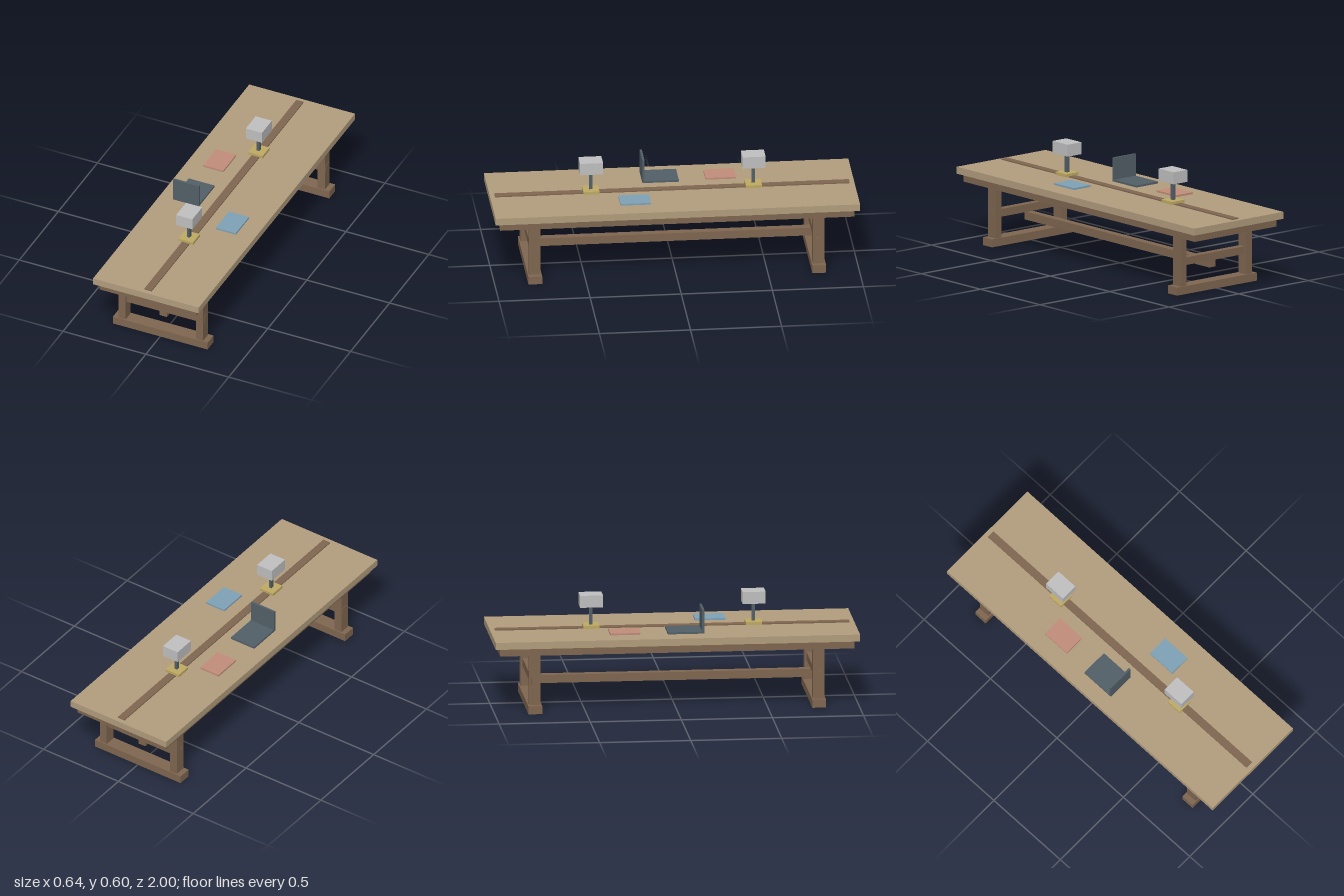
import * as THREE from 'three';

const mat = (name, color) => {
  const m = new THREE.MeshStandardMaterial({ color });
  m.name = name;
  return m;
};

export function createModel() {
  const lightWood = mat('lightWood', 0xb29d7d);
  const darkWood = mat('darkWood', 0x7f6650);
  const slate = mat('slate', 0x536068);
  const shadeGrey = mat('shadeGrey', 0xc0c0c0);
  const brass = mat('brass', 0xc0ab64);
  const blue = mat('blueCover', 0x7fa2b7);
  const red = mat('redCover', 0xc18d79);

  const table = new THREE.Group();
  table.name = 'readingTable';

  // Box given by its [min, max] range on each axis
  const box = (parent, name, material, [x0, x1], [y0, y1], [z0, z1]) => {
    const mesh = new THREE.Mesh(new THREE.BoxGeometry(x1 - x0, y1 - y0, z1 - z0), material);
    mesh.position.set((x0 + x1) / 2, (y0 + y1) / 2, (z0 + z1) / 2);
    mesh.name = name;
    parent.add(mesh);
  };
  const sym = (h) => [-h, h];
  const group = (name, z = 0) => {
    const g = new THREE.Group();
    g.name = name;
    g.position.z = z;
    table.add(g);
    return g;
  };

  // Top, apron, centre runner and long stretcher
  box(table, 'tabletop', lightWood, sym(0.319), [0.373, 0.412], sym(1));
  box(table, 'apron', darkWood, sym(0.292), [0.329, 0.373], sym(0.973));
  box(table, 'centreRunner', darkWood, sym(0.022), [0.41, 0.418], sym(0.973));
  box(table, 'stretcher', darkWood, sym(0.022), [0.112, 0.157], sym(0.778));

  for (const side of [1, -1]) {
    const end = side > 0 ? 'front' : 'back';

    // Trestle: foot, two legs, crossbar tenoned through the legs
    const trestle = group(end + 'Trestle', side * 0.779);
    box(trestle, 'foot', darkWood, sym(0.286), [0, 0.045], sym(0.038));
    box(trestle, 'leftLeg', darkWood, [0.212, 0.256], [0.045, 0.329], sym(0.031));
    box(trestle, 'rightLeg', darkWood, [-0.256, -0.212], [0.045, 0.329], sym(0.031));
    box(trestle, 'crossbar', darkWood, sym(0.258), [0.157, 0.2], sym(0.02));

    // Lamp
    const lamp = group(end + 'Lamp', side * 0.446);
    box(lamp, 'lampBase', brass, sym(0.044), [0.415, 0.432], sym(0.044));
    box(lamp, 'lampPole', slate, sym(0.008), [0.432, 0.535], sym(0.01));
    box(lamp, 'lampShade', shadeGrey, sym(0.049), [0.535, 0.602], sym(0.063));
  }

  // Open laptop
  const laptop = group('laptop');
  box(laptop, 'keyboardBase', slate, [-0.234, -0.079], [0.418, 0.429], [-0.046, 0.154]);
  box(laptop, 'screen', slate, [-0.234, -0.079], [0.429, 0.552], [0.142, 0.154]);

  // Books
  box(table, 'blueBook', blue, [0.094, 0.215], [0.416, 0.426], [0.136, 0.304]);
  box(table, 'redBook', red, [-0.217, -0.096], [0.416, 0.426], [-0.36, -0.194]);

  return table;
}
